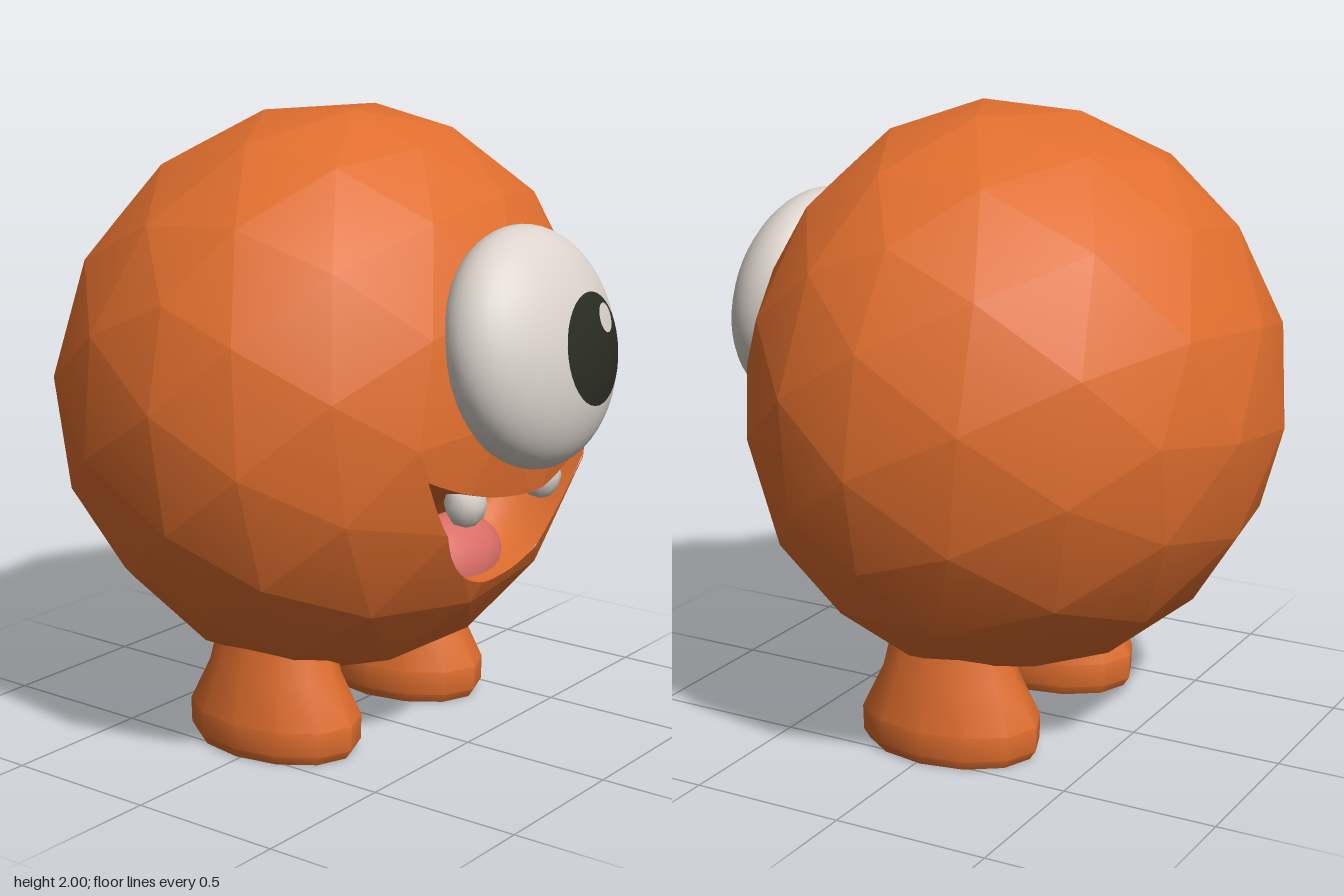
import * as THREE from 'three';
import { toCreasedNormals } from 'three/addons/utils/BufferGeometryUtils.js';

const mat = (name, color) => {
  const m = new THREE.MeshStandardMaterial({ color });
  m.name = name;
  return m;
};
const V = (x, y, z) => new THREE.Vector3(x, y, z);

// Body: ball flattened on its face side (+x)
const CY = 1.1, RY = 0.92, RZ = 0.93, BACK = 0.93, FACE = 0.755;

function bodyTriangles() {
  const g = new THREE.IcosahedronGeometry(1, 2).rotateX(0.12).rotateZ(0.05);
  const p = g.attributes.position, tris = [];
  const at = i => {
    const v = new THREE.Vector3().fromBufferAttribute(p, i);
    return V(v.x * (v.x > 0 ? FACE : BACK), CY + v.y * RY, v.z * RZ);
  };
  for (let i = 0; i < p.count; i += 3) tris.push([at(i), at(i + 1), at(i + 2)]);
  return tris;
}

// Mouth outline, as upper and lower lip heights over z
const MOUTH_W = 0.44, COLS = 24;
const upper = z => 0.87 + 0.11 * (z / MOUTH_W) ** 2;
const lower = z => 0.575 + 0.405 * Math.abs(z / MOUTH_W) ** 2.6;
const colZ = i => -MOUTH_W + (2 * MOUTH_W * i) / COLS;

// Split a flat polygon by the line a-b in the (z, y) plane
function split(poly, a, b) {
  const side = p => (b[0] - a[0]) * (p.y - a[1]) - (b[1] - a[1]) * (p.z - a[0]);
  const inside = [], outside = [];
  poly.forEach((p, i) => {
    const q = poly[(i + 1) % poly.length], d = side(p), e = side(q);
    (d >= 0 ? inside : outside).push(p);
    if ((d >= 0) !== (e >= 0)) {
      const m = p.clone().lerp(q, d / (d - e));
      inside.push(m);
      outside.push(m);
    }
  });
  return [inside, outside];
}

// Polygon minus a convex quad
function subtract(poly, quad) {
  const pieces = [];
  let rest = poly;
  for (let i = 0; i < quad.length; i++) {
    const [inside, outside] = split(rest, quad[i], quad[(i + 1) % quad.length]);
    if (inside.length < 3) return [poly];
    if (outside.length > 2) pieces.push(outside);
    rest = inside;
  }
  return pieces;
}

function bodyGeometry(tris) {
  const pos = [], nor = [];
  for (const tri of tris) {
    const flat = new THREE.Triangle(...tri).getNormal(V(0, 0, 0));
    let polys = [tri];
    if (tri[0].x + tri[1].x + tri[2].x > 0) {
      for (let i = 0; i < COLS; i++) {
        const a = colZ(i), b = colZ(i + 1);
        const quad = [[a, lower(a)], [b, lower(b)], [b, upper(b)], [a, upper(a)]];
        polys = polys.flatMap(p => subtract(p, quad));
      }
    }
    for (const p of polys) {
      for (let k = 1; k < p.length - 1; k++) {
        for (const v of [p[0], p[k], p[k + 1]]) {
          // soft facets: mix of the facet and ball normals
          const rx = v.x > 0 ? FACE : BACK;
          const n = V(v.x / rx ** 2, (v.y - CY) / RY ** 2, v.z / RZ ** 2).normalize();
          n.lerp(flat, 0.6).normalize();
          pos.push(v.x, v.y, v.z);
          nor.push(n.x, n.y, n.z);
        }
      }
    }
  }
  const g = new THREE.BufferGeometry();
  g.setAttribute('position', new THREE.Float32BufferAttribute(pos, 3));
  g.setAttribute('normal', new THREE.Float32BufferAttribute(nor, 3));
  return g;
}

// Hollow behind the lips
function mouthGeometry(tris) {
  const surfaceX = (y, z) => {
    const ray = new THREE.Ray(V(2, y, z), V(-1, 0, 0)), hit = V(0, 0, 0);
    for (const t of tris) if (ray.intersectTriangle(...t, true, hit)) return hit.x;
    return 0.65;
  };
  const rows = 14, pos = [], idx = [];
  for (let i = 0; i <= COLS; i++) {
    const z = colZ(i), t = z / MOUTH_W;
    for (let j = 0; j <= rows; j++) {
      const v = (1 - Math.cos((Math.PI * j) / rows)) / 2;
      const y = THREE.MathUtils.lerp(lower(z), upper(z), v);
      const depth = 0.3 * Math.sqrt(Math.max(0, 4 * v * (1 - v) * (1 - t * t)));
      pos.push(surfaceX(y, z) - depth, y, z);
      if (i < COLS && j < rows) {
        const a = i * (rows + 1) + j, b = a + rows + 1;
        idx.push(a, a + 1, b, b, a + 1, b + 1);
      }
    }
  }
  const g = new THREE.BufferGeometry();
  g.setAttribute('position', new THREE.Float32BufferAttribute(pos, 3));
  g.setIndex(idx);
  g.computeVertexNormals();
  return g;
}

// Round patch lying on the eye dome
const EYE_R = 0.368, EYE_D = 0.2;
function eyePatch(r, y, z, lift) {
  const g = new THREE.RingGeometry(0, r, 36, 6).rotateY(Math.PI / 2).translate(0, y, z);
  const p = g.attributes.position;
  for (let i = 0; i < p.count; i++) {
    const d = (p.getY(i) ** 2 + p.getZ(i) ** 2) / EYE_R ** 2;
    p.setX(i, EYE_D * Math.sqrt(1 - d) + lift);
  }
  g.computeVertexNormals();
  return g;
}

export function createModel() {
  const orange = mat('orange skin', 0xe06e2e);
  const white = mat('eye white', 0xdcd4cc);
  const black = mat('pupil black', 0x2b2d22);
  const pink = mat('tongue pink', 0xdb6e68);

  const model = new THREE.Group();
  model.name = 'oneEyedMonster';
  const add = (name, geo, material, parent = model) => {
    const m = new THREE.Mesh(geo, material);
    m.name = name;
    parent.add(m);
    return m;
  };

  const tris = bodyTriangles();
  add('body', bodyGeometry(tris), orange);
  add('mouthHollow', mouthGeometry(tris), orange);

  // Tongue
  const tongue = add('tongue', new THREE.SphereGeometry(1, 24, 16), pink);
  tongue.scale.set(0.15, 0.16, 0.25);
  tongue.position.set(0.4, 0.585, 0);

  // Eye, tilted slightly upward
  const eye = new THREE.Group();
  eye.name = 'eye';
  eye.position.set(0.72, 1.325, 0.02);
  eye.rotation.z = 0.2;
  model.add(eye);
  add('eyeball', new THREE.SphereGeometry(1, 40, 28), white, eye).scale.set(EYE_D, EYE_R, EYE_R);
  add('pupil', eyePatch(0.17, -0.03, -0.06, 0.006), black, eye);
  add('eyeGlint', eyePatch(0.045, 0.053, -0.127, 0.01), white, eye);

  // Teeth and feet, mirrored across the face
  const footProfile = [[0, 0], [0.285, 0], [0.305, 0.03], [0.307, 0.11], [0.235, 0.25], [0.19, 0.42]]
    .map(([r, y]) => new THREE.Vector2(r, y));
  for (const s of [1, -1]) {
    const side = s > 0 ? 'left' : 'right';
    const tooth = add(side + 'Tooth', new THREE.IcosahedronGeometry(1, 1), white);
    tooth.scale.set(0.065, 0.078, 0.068);
    tooth.position.set(0.62, 0.865, s * 0.21);

    const geo = toCreasedNormals(new THREE.LatheGeometry(footProfile, 12), 0.6);
    const foot = add(side + 'Foot', geo, orange);
    foot.scale.z = 0.69;
    foot.position.set(-0.015, 0, s * 0.343);
  }
  return model;
}
